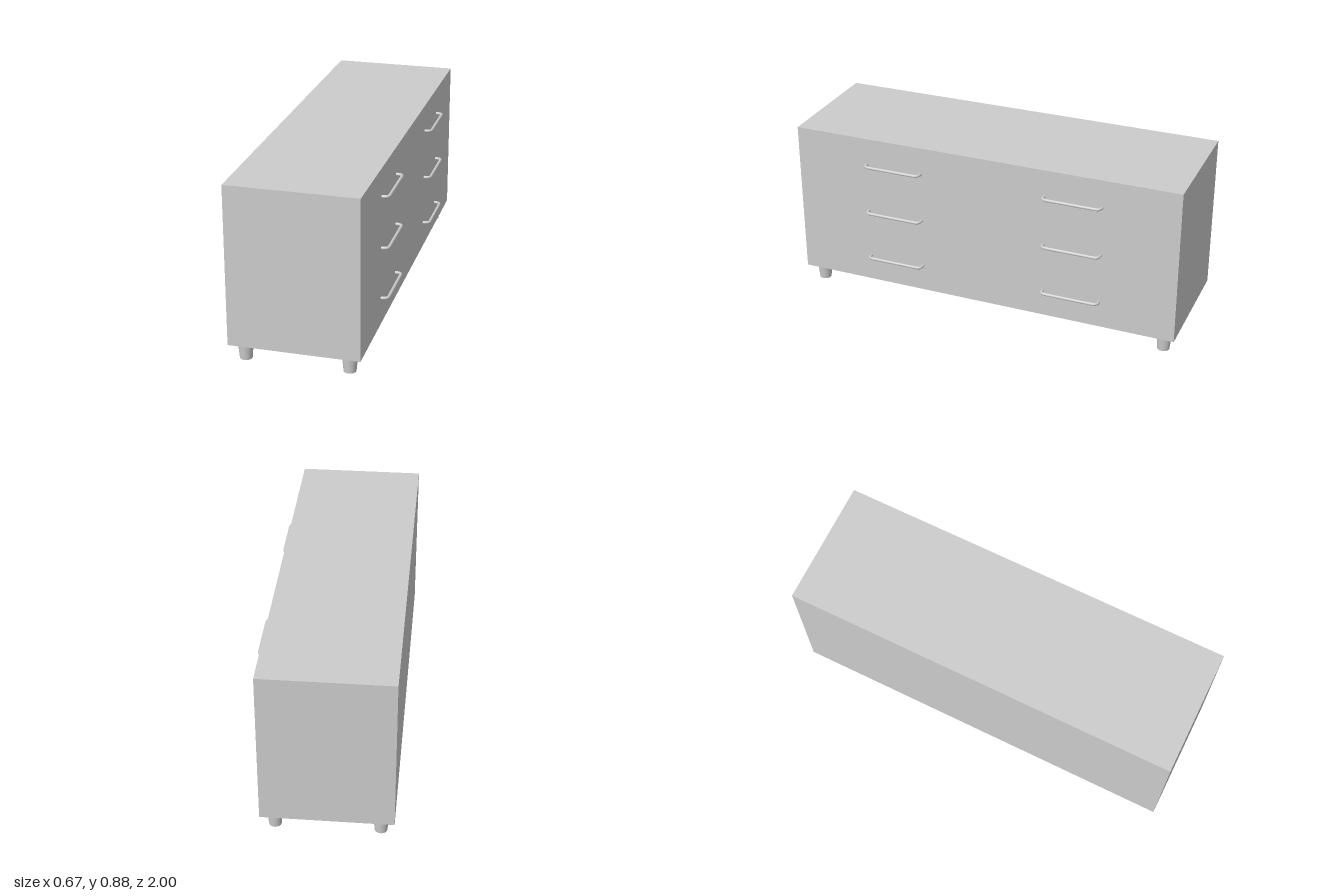
import * as THREE from 'three';

const material = new THREE.MeshStandardMaterial({ color: 0xcccccc });

const BACK = -0.338, FRONT = 0.295; // cabinet depth runs along x
const BOTTOM = 0.088, TOP = 0.882;

function addMesh(parent, name, geometry, x, y, z) {
  const mesh = new THREE.Mesh(geometry, material);
  mesh.name = name;
  mesh.position.set(x, y, z);
  parent.add(mesh);
}

// Bar handle: two short posts joined to a straight grip by rounded bends
function handleGeometry() {
  const half = 0.146, reach = 0.033, bend = 0.024;
  const v = (x, z) => new THREE.Vector3(x, 0, z);
  const path = new THREE.CurvePath();
  path.add(new THREE.LineCurve3(v(-0.004, -half), v(reach - bend, -half)));
  path.add(new THREE.QuadraticBezierCurve3(v(reach - bend, -half), v(reach, -half), v(reach, -half + bend)));
  path.add(new THREE.LineCurve3(v(reach, -half + bend), v(reach, half - bend)));
  path.add(new THREE.QuadraticBezierCurve3(v(reach, half - bend), v(reach, half), v(reach - bend, half)));
  path.add(new THREE.LineCurve3(v(reach - bend, half), v(-0.004, half)));
  return new THREE.TubeGeometry(path, 96, 0.0075, 14, false);
}

export function createModel() {
  const model = new THREE.Group();
  model.name = 'drawerCabinet';

  // Plain cabinet body
  addMesh(model, 'body', new THREE.BoxGeometry(FRONT - BACK, TOP - BOTTOM, 2),
    (FRONT + BACK) / 2, (TOP + BOTTOM) / 2, 0);

  // Tapered round feet near the corners
  const foot = new THREE.CylinderGeometry(0.038, 0.03, BOTTOM, 32);
  for (const x of [BACK + 0.066, FRONT - 0.066])
    for (const z of [-0.934, 0.934]) addMesh(model, 'foot', foot, x, BOTTOM / 2, z);

  // Three rows of drawer handles in two columns
  const handle = handleGeometry();
  for (const y of [0.227, 0.485, 0.743])
    for (const z of [-0.47, 0.47]) addMesh(model, 'drawerHandle', handle, FRONT, y, z);

  return model;
}
